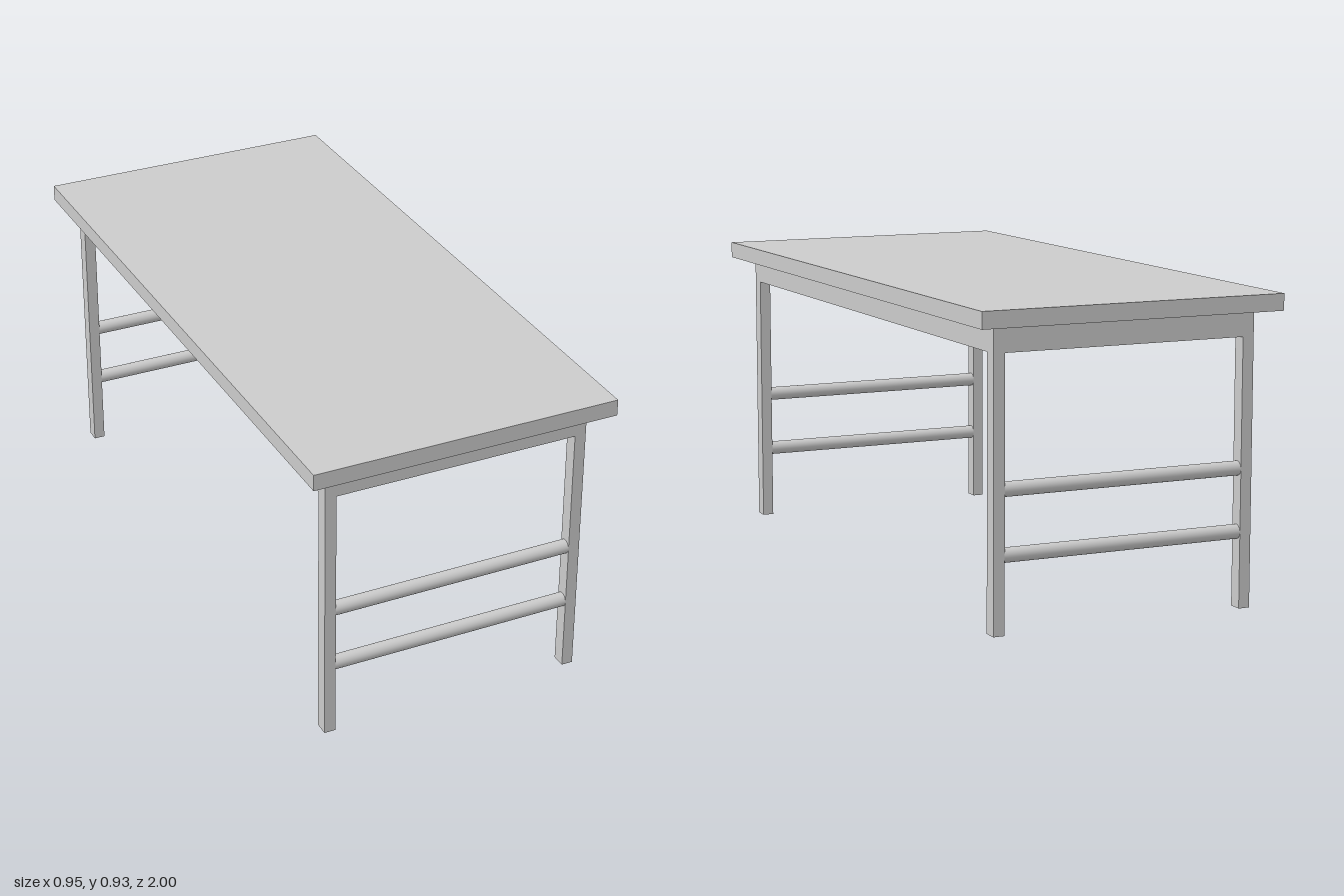
import * as THREE from 'three';

const material = new THREE.MeshStandardMaterial({ color: 0xcccccc });

// Outer half sizes of the underframe and the cross-section of its members
const FRAME_X = 0.412, FRAME_Z = 0.94;
const LEG_X = 0.035, LEG_Z = 0.043;
const APRON_BOTTOM = 0.798, TOP_BOTTOM = 0.875, TOP_HEIGHT = 0.05;

function add(parent, name, geometry, x, y, z) {
  const mesh = new THREE.Mesh(geometry, material);
  mesh.name = name;
  mesh.position.set(x, y, z);
  parent.add(mesh);
  return mesh;
}

function rectangle(path, hx, hz) {
  path.moveTo(-hx, -hz);
  path.lineTo(hx, -hz);
  path.lineTo(hx, hz);
  path.lineTo(-hx, hz);
  path.closePath();
  return path;
}

export function createModel() {
  const table = new THREE.Group();
  table.name = 'table';

  // Flat overhanging slab
  add(table, 'tabletop', new THREE.BoxGeometry(0.95, TOP_HEIGHT, 2),
    0, TOP_BOTTOM + TOP_HEIGHT / 2, 0);

  // Rectangular apron frame, open in the middle and flush with the legs
  const ring = rectangle(new THREE.Shape(), FRAME_X, FRAME_Z);
  ring.holes.push(rectangle(new THREE.Path(), FRAME_X - LEG_X, FRAME_Z - LEG_Z));
  const apron = new THREE.ExtrudeGeometry(ring, {
    depth: TOP_BOTTOM - APRON_BOTTOM, bevelEnabled: false,
  });
  apron.rotateX(-Math.PI / 2);
  add(table, 'apron', apron, 0, APRON_BOTTOM, 0);

  const legGeometry = new THREE.BoxGeometry(LEG_X, APRON_BOTTOM, LEG_Z);
  const rungGeometry = new THREE.CylinderGeometry(0.0215, 0.0215, 2 * (FRAME_X - LEG_X), 32);
  rungGeometry.rotateZ(Math.PI / 2);

  // Each end has two square legs joined by two round rungs
  for (const [end, side] of [['front', 1], ['back', -1]]) {
    const z = side * (FRAME_Z - LEG_Z / 2);
    for (const [hand, sx] of [['Left', 1], ['Right', -1]]) {
      add(table, `${end}${hand}Leg`, legGeometry,
        sx * (FRAME_X - LEG_X / 2), APRON_BOTTOM / 2, z);
    }
    add(table, `${end}LowerRung`, rungGeometry, 0, 0.226, z);
    add(table, `${end}UpperRung`, rungGeometry, 0, 0.413, z);
  }

  return table;
}
